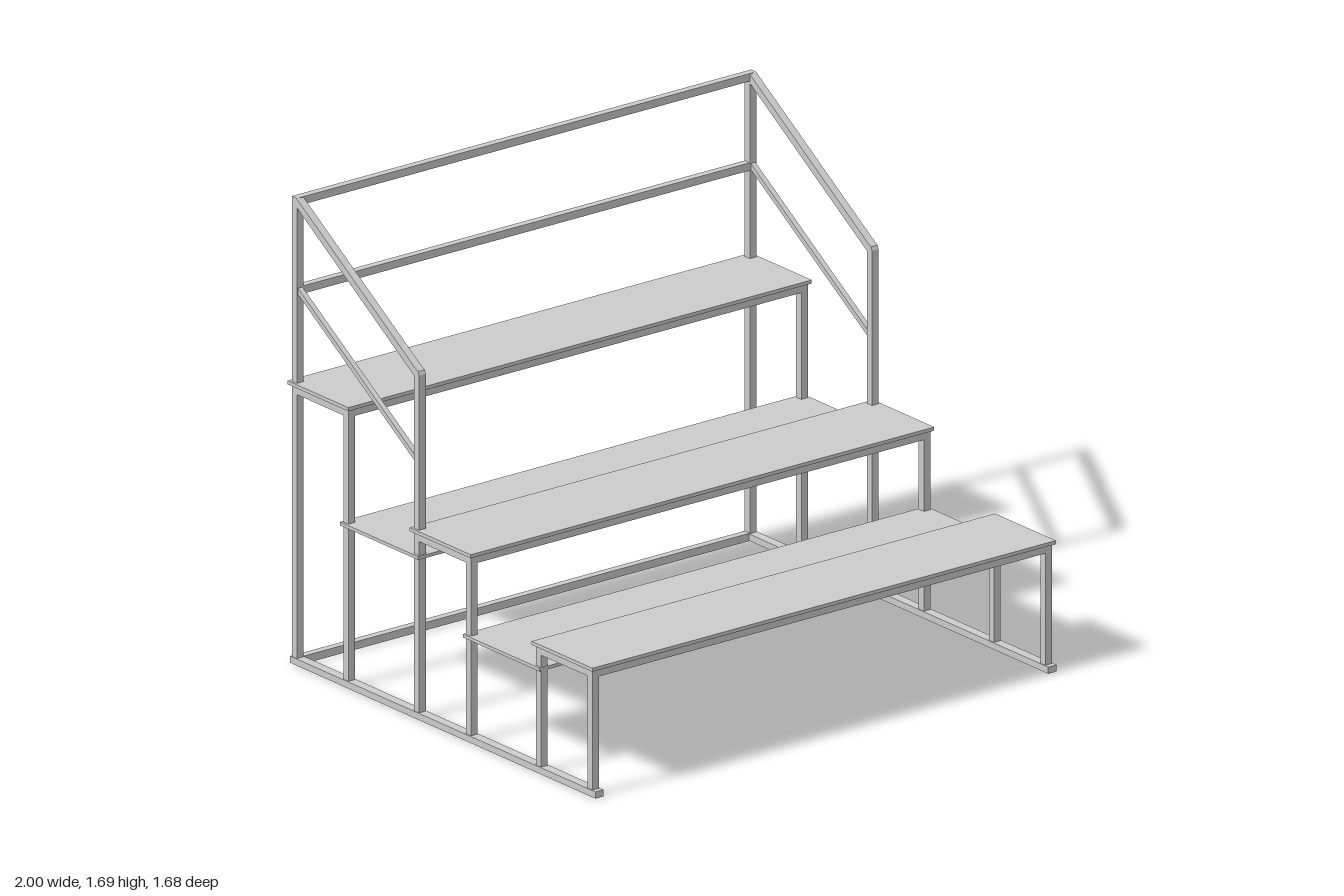
import * as THREE from 'three';

const T = 0.028;      // square tube thickness
const SIDE = 0.977;   // x of the side frames

export function createModel() {
  const group = new THREE.Group();
  const mat = new THREE.MeshStandardMaterial({ color: 0xcccccc });

  // box from min/max ranges on each axis
  const box = (name, x0, x1, y0, y1, z0, z1) => {
    const m = new THREE.Mesh(new THREE.BoxGeometry(x1 - x0, y1 - y0, z1 - z0), mat);
    m.position.set((x0 + x1) / 2, (y0 + y1) / 2, (z0 + z1) / 2);
    m.name = name;
    group.add(m);
  };
  const crossRail = (name, top, z) =>
    box(name, -SIDE, SIDE, top - T, top, z - T / 2, z + T / 2);

  // flat outline in (z, y), extruded along x and centred on the given side
  const sidePanel = (name, points, x, width) => {
    const shape = new THREE.Shape(points.map(([z, y]) => new THREE.Vector2(z, y)));
    const geo = new THREE.ExtrudeGeometry(shape, { depth: width, bevelEnabled: false });
    geo.rotateY(-Math.PI / 2);
    geo.translate(x + width / 2, 0, 0);
    const m = new THREE.Mesh(geo, mat);
    m.name = name;
    group.add(m);
  };

  // seats: top height, front leg z, back leg z
  const seats = [
    { name: 'frontSeat', top: 0.47, front: 0.811, back: 0.529 },
    { name: 'middleSeat', top: 0.685, front: 0.144, back: -0.14 },
    { name: 'topSeat', top: 1.02, front: -0.528, back: -0.81 },
  ];
  for (const s of seats) {
    const under = s.top - 0.013;
    box(s.name + 'Board', -1, 1, under, s.top, s.back - 0.027, s.front + 0.024);
    crossRail(s.name + 'FrontRail', under, s.front);
    crossRail(s.name + 'BackRail', under, s.back);
    for (const side of [-1, 1]) {
      const x = side * SIDE;
      box(s.name + 'EndRail', x - T / 2, x + T / 2, under - T, under, s.back, s.front);
      for (const z of [s.front, s.back])
        box(s.name + 'Leg', x - T / 2, x + T / 2, 0.02, under, z - T / 2, z + T / 2);
    }
  }

  // thin foot boards between the seats
  box('lowerFootBoard', -1, 1, 0.373, 0.385, 0.125, 0.545);
  box('upperFootBoard', -1, 1, 0.581, 0.593, -0.55, -0.12);

  // side base rails, handrails and sloping middle rails
  for (const side of [-1, 1]) {
    const x = side * SIDE;
    box('baseRail', x - 0.018, x + 0.018, 0, 0.024, -0.83, 0.845);
    sidePanel('handrail', [
      [-0.126, 0.02], [-0.126, 1.245], [-0.132, 1.258], [-0.15, 1.268],
      [-0.80, 1.69], [-0.824, 1.69], [-0.824, 0.02], [-0.796, 0.02],
      [-0.796, 1.655], [-0.154, 1.237], [-0.154, 0.02],
    ], x, T + 0.001);
    sidePanel('slopingMiddleRail', [
      [-0.15, 0.923], [-0.15, 0.945], [-0.805, 1.369], [-0.805, 1.347],
    ], x, 0.02);
  }

  // rails across the back
  crossRail('backBaseRail', 0.026, -0.81);
  crossRail('backMiddleRail', 1.367, -0.81);
  crossRail('backTopRail', 1.69, -0.81);

  return group;
}
